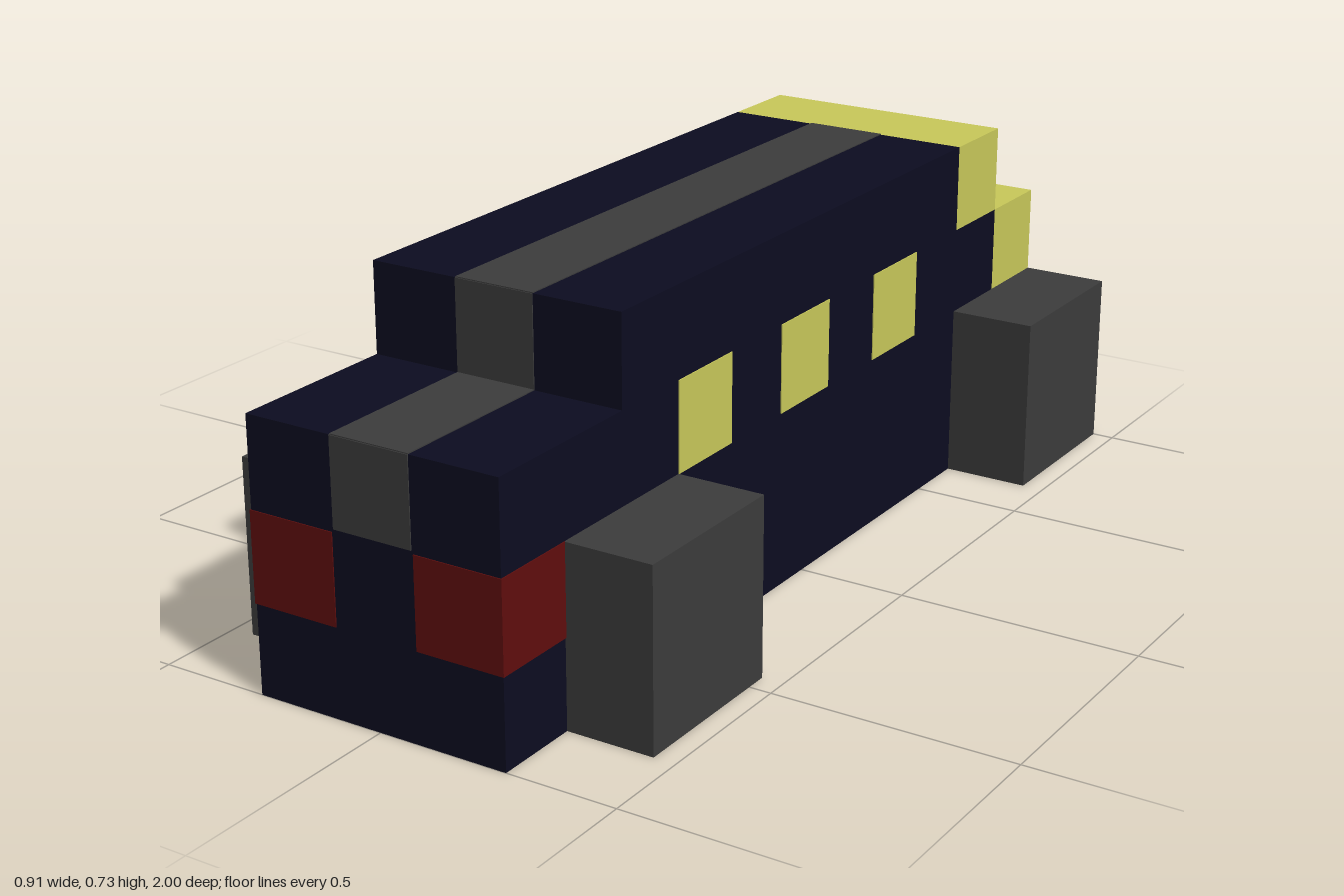
import * as THREE from 'three';

const U = 1 / 11; // block size: the model is 22 blocks long
const T = 0.002;  // how far painted plates stand proud

const paint = (name, color) => {
  const m = new THREE.MeshStandardMaterial({ color });
  m.name = name;
  return m;
};

export function createModel() {
  const navy = paint('navy', 0x0c0c20);
  const grey = paint('grey', 0x3c3c3c);
  const red = paint('red', 0x600e0e);
  const yellow = paint('yellow', 0xc9c95a);
  const paleYellow = paint('paleYellow', 0xc9c97c);

  const model = new THREE.Group();
  model.name = 'van';

  // Box between two corners given in blocks, grown by a small margin
  const block = (name, material, x0, x1, y0, y1, z0, z1, grow = [0, 0, 0]) => {
    const geo = new THREE.BoxGeometry(
      (x1 - x0) * U + 2 * grow[0], (y1 - y0) * U + 2 * grow[1], (z1 - z0) * U + 2 * grow[2]);
    const mesh = new THREE.Mesh(geo, material);
    mesh.name = name;
    mesh.position.set((x0 + x1) / 2 * U, (y0 + y1) / 2 * U, (z0 + z1) / 2 * U);
    model.add(mesh);
  };

  // Body: stepped side profile (z, y) extruded across the width
  const profile = [[-11, 0], [11, 0], [11, 6], [7, 6], [7, 8], [-7, 8], [-7, 6], [-9, 6], [-9, 4], [-11, 4]];
  const shape = new THREE.Shape(profile.map(([z, y]) => new THREE.Vector2(z * U, y * U)));
  const bodyGeo = new THREE.ExtrudeGeometry(shape, { depth: 6 * U, bevelEnabled: false });
  bodyGeo.rotateY(-Math.PI / 2).translate(3 * U, 0, 0);
  const body = new THREE.Mesh(bodyGeo, navy);
  body.name = 'body';
  model.add(body);

  // Stepped yellow rear
  block('rearRoof', yellow, -3, 3, 6, 8, -9, -7);
  block('rearStep', yellow, -3, 3, 4, 6, -11, -9);

  // Stripe running from the nose over the bonnet and roof
  const s = 0.935;
  block('noseStripe', grey, -s, s, 4.07, 6, 11, 11, [0, 0, T]);
  block('bonnetStripe', grey, -s, s, 6, 6, 7, 11, [0, T, 0]);
  block('windscreenStripe', grey, -s, s, 6, 8, 7, 7, [0, 0, T]);
  block('roofStripe', grey, -s, s, 8, 8, -7, 7, [0, T, 0]);

  for (const [side, a, b] of [['left', 1, 3], ['right', -3, -1]]) {
    const outer = side === 'left' ? 3 : -3;
    // Lamps: front ones wrap round the corner
    block(side + 'FrontLamp', red, a, b, 2, 4, 9, 11, [T, 0, T]);
    block(side + 'RearLamp', paleYellow, a, b, 2, 4, -11, -11, [0, 0, T]);
    // Side windows
    for (const z of [4, 0, -4]) {
      block(side + 'Window', yellow, outer, outer, 4, 6, z - 1, z + 1, [T, 0, 0]);
    }
    // Block wheels
    const [w0, w1] = side === 'left' ? [3, 5] : [-5, -3];
    block(side + 'FrontWheel', grey, w0, w1, 0, 4, 5, 9);
    block(side + 'RearWheel', grey, w0, w1, 0, 4, -11, -7);
  }
  return model;
}
